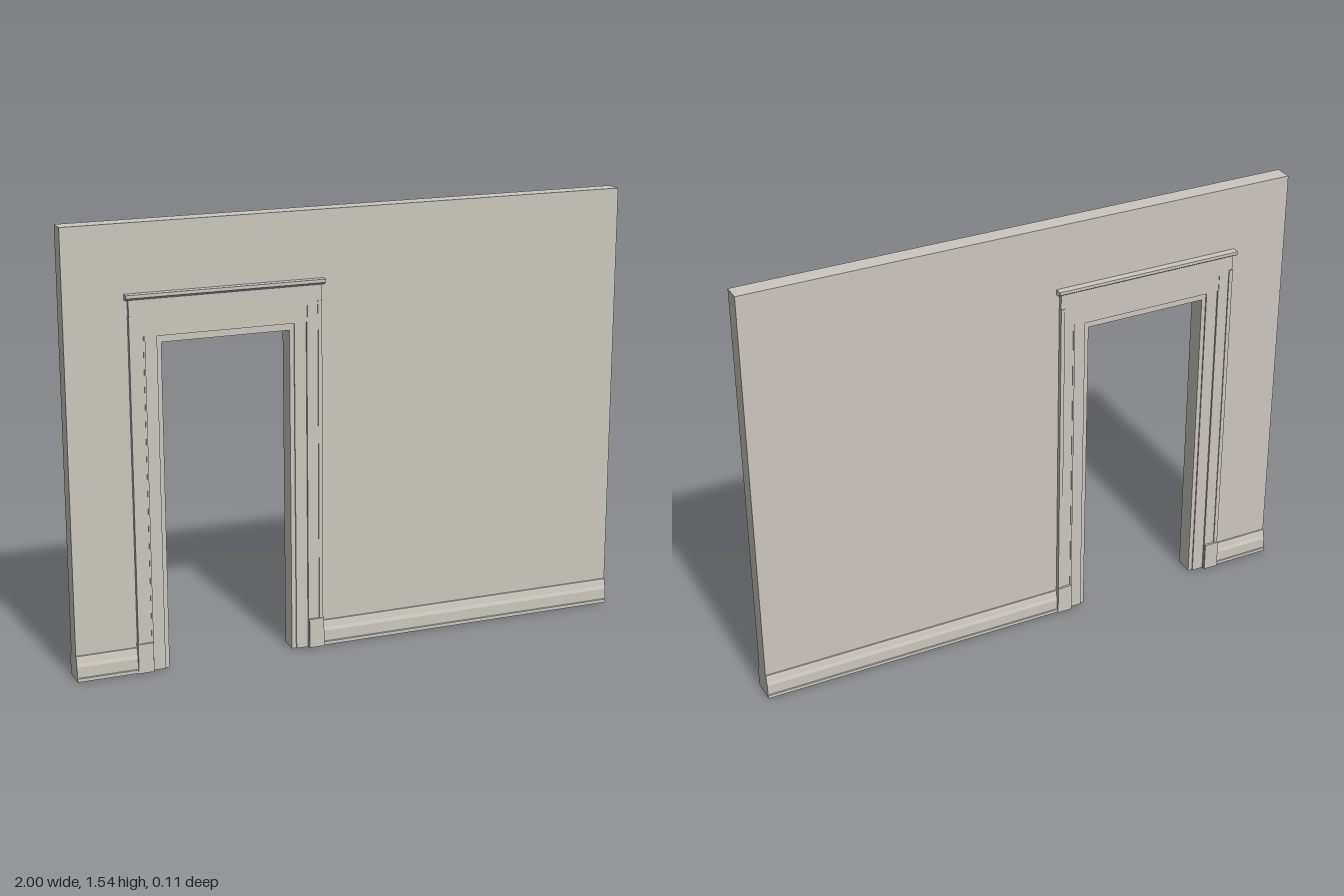
import * as THREE from 'three';

export function createModel() {
  const model = new THREE.Group();
  model.name = 'wallWithDoorway';
  const paint = new THREE.MeshStandardMaterial({ color: 0xcbc7be });
  paint.name = 'warm grey paint';

  const cx = -0.4525; // doorway centre

  function add(name, geometry) {
    const mesh = new THREE.Mesh(geometry, paint);
    mesh.name = name;
    model.add(mesh);
  }
  // Box running through the wall, showing equally on both faces
  function slab(name, x0, x1, y0, y1, halfDepth) {
    const g = new THREE.BoxGeometry(x1 - x0, y1 - y0, halfDepth * 2);
    add(name, g.translate((x0 + x1) / 2, (y0 + y1) / 2, 0));
  }
  // Depth/height profile swept along x
  function sweep(name, points, x0, x1) {
    const shape = new THREE.Shape(points.map(([z, y]) => new THREE.Vector2(-z, y)));
    const g = new THREE.ExtrudeGeometry(shape, { depth: x1 - x0, bevelEnabled: false });
    add(name, g.rotateY(Math.PI / 2).translate(x0, 0, 0));
  }

  // Wall with a door-shaped notch
  const outline = [[-1, 0], [-0.7, 0], [-0.7, 1.155], [-0.205, 1.155],
    [-0.205, 0], [1, 0], [1, 1.54], [-1, 1.54]];
  const wall = new THREE.Shape(outline.map(([x, y]) => new THREE.Vector2(x, y)));
  add('wall', new THREE.ExtrudeGeometry(wall, { depth: 0.062, bevelEnabled: false })
    .translate(0, 0, -0.031));

  // Upright trim on each side: distances out from the doorway centre
  for (const [side, s] of [['right', -1], ['left', 1]]) {
    const upright = (name, a, b, top, depth) => slab(side + name,
      Math.min(cx + s * a, cx + s * b), Math.max(cx + s * a, cx + s * b), 0, top, depth);
    upright('Jamb', 0.2225, 0.26, 1.165, 0.033);
    upright('InnerCasing', 0.238, 0.285, 1.166, 0.038);
    upright('OuterCasing', 0.283, 0.322, 1.226, 0.043);
    upright('InnerBead', 0.28, 0.286, 1.167, 0.045);
    upright('OuterBead', 0.32, 0.334, 1.237, 0.047);
    upright('Plinth', 0.282, 0.336, 0.105, 0.051);
  }

  // Lintel, head casing, frieze
  slab('lintel', cx - 0.24, cx + 0.24, 1.14, 1.166, 0.033);
  slab('headCasing', cx - 0.285, cx + 0.285, 1.164, 1.226, 0.0415);
  slab('frieze', cx - 0.333, cx + 0.333, 1.224, 1.298, 0.0435);

  // Cornice with a sloped underside, and baseboards, on both wall faces
  for (const [face, s] of [['front', 1], ['back', -1]]) {
    const mirror = (pts) => pts.map(([z, y]) => [z * s, y]);
    sweep(face + 'Cornice', mirror([[0.02, 1.29], [0.045, 1.29], [0.051, 1.295],
      [0.057, 1.298], [0.057, 1.309], [0.02, 1.309]]), cx - 0.344, cx + 0.344);
    const board = mirror([[0.03, 0], [0.046, 0], [0.046, 0.012], [0.043, 0.014],
      [0.043, 0.052], [0.039, 0.064], [0.036, 0.08], [0.034, 0.088], [0.03, 0.09]]);
    sweep(face + 'RightBaseboard', board, -1, cx - 0.33);
    sweep(face + 'LeftBaseboard', board, cx + 0.33, 1);
  }
  return model;
}
